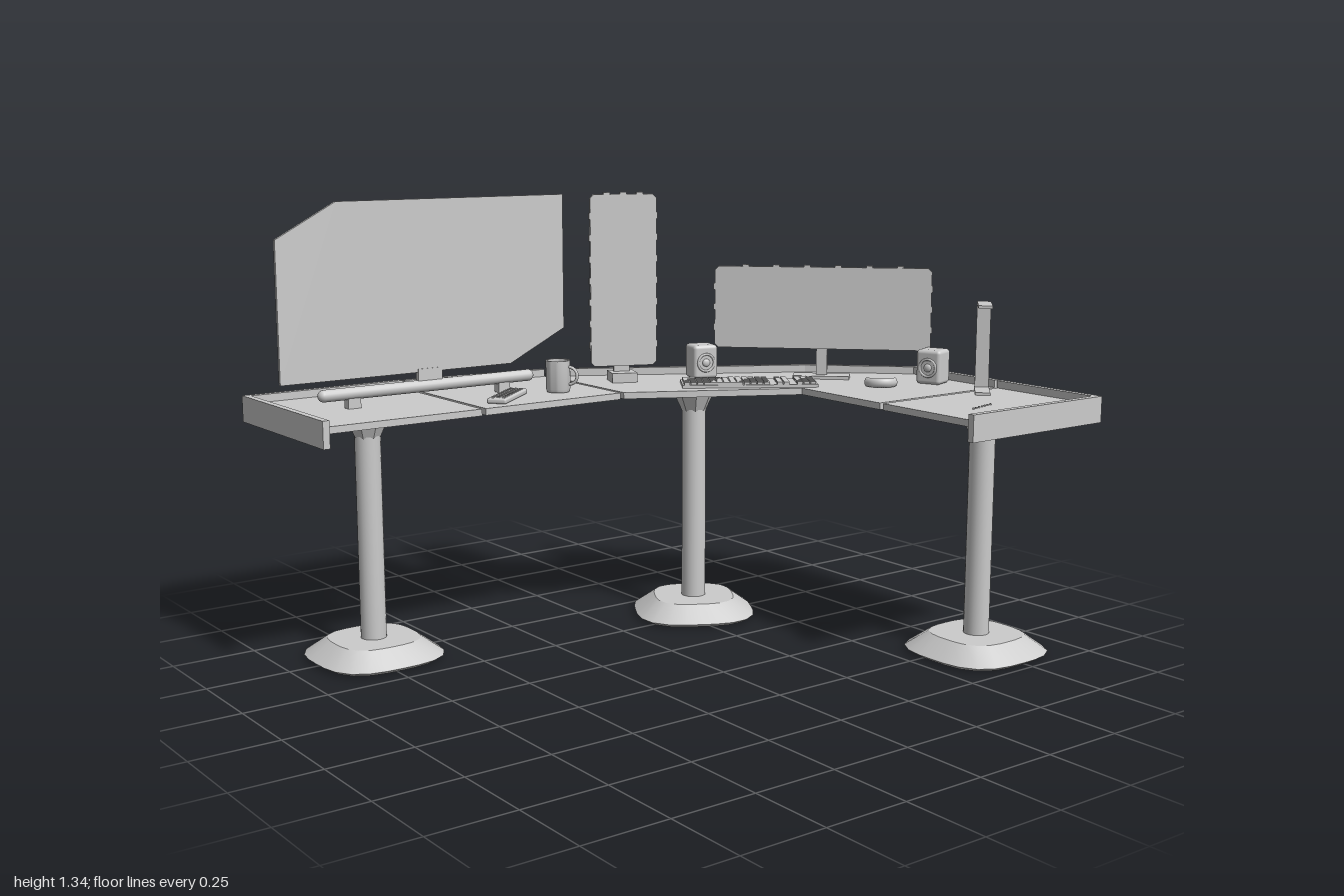
import * as THREE from 'three';
import { toCreasedNormals } from 'three/addons/utils/BufferGeometryUtils.js';
import { RoundedBoxGeometry } from 'three/addons/geometries/RoundedBoxGeometry.js';

const grey = new THREE.MeshStandardMaterial({ color: 0xcccccc, side: THREE.DoubleSide });
const TOP = 0.75; // height of the work surface

function add(parent, name, geo, x = 0, y = 0, z = 0) {
  const m = new THREE.Mesh(geo, grey);
  m.name = name;
  m.position.set(x, y, z);
  parent.add(m);
  return m;
}
const box = (w, h, d) => new THREE.BoxGeometry(w, h, d);

// Sub-group placed on the desk and turned about y (degrees)
function spot(parent, name, x, y, z, deg = 0) {
  const g = new THREE.Group();
  g.name = name;
  g.position.set(x, y, z);
  g.rotation.y = THREE.MathUtils.degToRad(deg);
  parent.add(g);
  return g;
}

// Flat polygon with thickness; points are 2D
function plate(points, depth) {
  const shape = new THREE.Shape(points.map(([x, y]) => new THREE.Vector2(x, y)));
  return new THREE.ExtrudeGeometry(shape, { depth, bevelEnabled: false });
}

// Rim board along an outer edge, thickness to the inner side
function rim(parent, [ax, az], [bx, bz]) {
  const t = 0.02, dx = bx - ax, dz = bz - az, len = Math.hypot(dx, dz);
  const m = add(parent, 'rim', box(len, 0.078, t),
    (ax + bx) / 2 - dz / len * t / 2, 0.734, (az + bz) / 2 + dx / len * t / 2);
  m.rotation.y = Math.atan2(-dz, dx);
}

function desk(parent) {
  const g = spot(parent, 'desk', 0, 0, 0);
  const panels = [
    [[-0.75, 0.99], [-0.75, 0.49], [-0.25, 0.49], [-0.25, 0.99]],
    [[-0.74, 0.477], [-0.685, 0.006], [-0.25, 0.006], [-0.25, 0.477]],
    [[-0.68, -0.006], [-0.26, -0.73], [-0.01, -0.98], [0.355, -0.98], [0.355, -0.495], [0.01, -0.495], [-0.25, -0.006]],
    [[0.368, -0.98], [0.745, -0.98], [0.745, -0.495], [0.368, -0.495]],
  ];
  panels.forEach((p) => {
    const geo = plate(p.map(([x, z]) => [x, -z]), 0.02).rotateX(-Math.PI / 2);
    add(g, 'topPanel', geo, 0, TOP - 0.02, 0);
  });
  const edges = [
    [[-0.22, 1], [-0.755, 1]], [[-0.755, 1], [-0.755, 0.485]],
    [[-0.75, 0.477], [-0.69, 0.006]], [[-0.688, -0.006], [-0.26, -0.74]],
    [[-0.26, -0.74], [-0.01, -0.995]], [[-0.01, -1], [0.355, -1]],
    [[0.365, -1], [0.755, -1]], [[0.755, -1], [0.755, -0.465]],
  ];
  edges.forEach(([a, b]) => rim(g, a, b));
}

// Column with flared head on a rounded-square foot
function leg(parent, x, z, deg) {
  const g = spot(parent, 'leg', x, 0, z, deg);
  const profile = [[0, 0], [0.17, 0], [0.188, 0.012], [0.125, 0.06], [0, 0.06]];
  const foot = new THREE.LatheGeometry(profile.map(([r, y]) => new THREE.Vector2(r, y)), 24);
  const p = foot.attributes.position;
  for (let i = 0; i < p.count; i++) {
    const a = Math.atan2(p.getZ(i), p.getX(i));
    const k = (Math.abs(Math.cos(a)) ** 3 + Math.abs(Math.sin(a)) ** 3) ** (-1 / 3);
    p.setXYZ(i, p.getX(i) * k, p.getY(i), p.getZ(i) * k);
  }
  add(g, 'foot', toCreasedNormals(foot, 0.5));
  add(g, 'column', new THREE.CylinderGeometry(0.038, 0.038, 0.61, 24), 0, 0.365, 0);
  const head = new THREE.CylinderGeometry(0.07, 0.038, 0.07, 8);
  add(g, 'columnHead', toCreasedNormals(head, 0.4), 0, 0.695, 0);
}

// Screen with clipped corners and small edge tabs, centred on its own origin
function screen(g, w, h, nx, ny) {
  const c = 0.012, a = w / 2, b = h / 2;
  add(g, 'screen', plate([[-a + c, -b], [a - c, -b], [a, -b + c], [a, b - c], [a - c, b],
    [-a + c, b], [-a, b - c], [-a, -b + c]], 0.016), 0, 0, -0.008);
  add(g, 'backShell', box(w * 0.94, h * 0.9, 0.012), 0, 0, -0.012);
  for (let i = 0; i < nx; i++) add(g, 'edgeTab', box(0.02, 0.012, 0.014), w * ((i + 1) / (nx + 1) - 0.5), b, 0);
  for (let i = 0; i < ny; i++) {
    for (const s of [-1, 1]) add(g, 'edgeTab', box(0.008, 0.02, 0.014), s * a, h * ((i + 1) / (ny + 1) - 0.5), 0);
  }
}

function displays(parent) {
  // Large panel with two diagonal corners cut
  const big = spot(parent, 'largeDisplay', -0.487, 0, 0.528, 90);
  add(big, 'screen', plate([[-0.472, 0.835], [0.278, 0.835], [0.472, 0.93], [0.472, 1.34],
    [-0.285, 1.34], [-0.472, 1.24]], 0.01), 0, 0, -0.005);
  add(big, 'neck', box(0.08, 0.04, 0.014), 0, 0.825, 0);
  const bar = new THREE.CapsuleGeometry(0.018, 0.68, 6, 16).rotateZ(Math.PI / 2);
  add(big, 'bar', bar, 0, 0.793, 0);
  for (const s of [-1, 1]) add(big, 'barFoot', box(0.04, 0.035, 0.025), s * 0.25, 0.766, 0);

  // Upright display
  const tall = spot(parent, 'uprightDisplay', -0.426, 1.07, -0.13, 67.7);
  screen(tall, 0.21, 0.535, 3, 7);
  add(tall, 'standPost', box(0.05, 0.19, 0.018), 0, -0.225, -0.035);
  add(tall, 'standCrossbar', box(0.1, 0.03, 0.03), 0, -0.13, -0.03);
  add(tall, 'standFoot', box(0.08, 0.03, 0.08), 0, -0.305, -0.02);

  // Wide display across the corner
  const wide = spot(parent, 'wideDisplay', -0.11, 0.975, -0.68, 45);
  screen(wide, 0.685, 0.26, 6, 3);
  add(wide, 'neck', box(0.035, 0.11, 0.02), 0, -0.17, -0.02);
  add(wide, 'standFoot', box(0.18, 0.01, 0.07), 0, -0.22, -0.01);
}

function speaker(parent, x, z, deg) {
  const g = spot(parent, 'speaker', x, TOP, z, deg);
  add(g, 'cabinet', new RoundedBoxGeometry(0.082, 0.108, 0.08, 3, 0.012), 0, 0.054, 0);
  add(g, 'coneRing', new THREE.TorusGeometry(0.027, 0.004, 8, 28), 0, 0.052, 0.04);
  add(g, 'cone', new THREE.SphereGeometry(0.013, 16, 8).scale(1, 1, 0.5), 0, 0.052, 0.04);
}

function keyboard(parent) {
  const g = spot(parent, 'keyboard', -0.14, TOP, -0.405, 56.5);
  add(g, 'case', box(0.42, 0.009, 0.125), 0, 0.005, 0);
  const key = box(0.017, 0.009, 0.015);
  for (let r = 0; r < 6; r++) {
    for (let c = 0; c < 20; c++) {
      if (c === 13 || c === 16) continue; // gaps between key blocks
      if (r === 5 && c > 2 && c < 9) continue; // space bar
      add(g, 'key', key, -0.196 + c * 0.0206, 0.013, -0.05 + r * 0.02);
    }
  }
  add(g, 'spaceBar', box(0.12, 0.009, 0.015), -0.083, 0.013, 0.05);
}

function smallItems(parent) {
  // Mug
  const mug = spot(parent, 'mug', -0.378, TOP, 0.147, 35);
  const wall = [[0, 0.002], [0.034, 0.002], [0.037, 0.012], [0.037, 0.098], [0.032, 0.098], [0.032, 0.014], [0, 0.01]];
  add(mug, 'cup', toCreasedNormals(new THREE.LatheGeometry(wall.map(([r, y]) => new THREE.Vector2(r, y)), 32), 0.7));
  const handle = new THREE.TorusGeometry(0.026, 0.005, 8, 20, Math.PI).rotateZ(-Math.PI / 2);
  add(mug, 'handle', handle, 0.036, 0.052, 0);

  // Remote with rows of buttons
  const remote = spot(parent, 'remote', -0.365, TOP, 0.335, -50);
  add(remote, 'remoteBody', new RoundedBoxGeometry(0.205, 0.016, 0.06, 2, 0.006), 0, 0.008, 0);
  for (let i = 0; i < 9; i++) {
    for (let j = -1; j <= 1; j++) add(remote, 'button', box(0.009, 0.005, 0.009), -0.08 + i * 0.02, 0.017, j * 0.016);
  }

  // Bracket-shaped lamp
  const lamp = spot(parent, 'lamp', 0.395, TOP, -0.882, -45);
  add(lamp, 'lampBase', box(0.125, 0.008, 0.045), 0, 0.004, 0);
  add(lamp, 'lampPost', box(0.01, 0.262, 0.042), -0.056, 0.135, 0);
  add(lamp, 'lampArm', box(0.13, 0.009, 0.042), 0.004, 0.266, 0);

  // Curved mouse shell
  const arc = new THREE.TorusGeometry(0.05, 0.009, 8, 20, 2.1).rotateX(Math.PI / 2).rotateY(0.35);
  const mouse = add(parent, 'mouse', arc, 0.12, TOP + 0.016, -0.72);
  mouse.scale.y = 1.6;

  // Row of indicator studs
  const stud = new THREE.CylinderGeometry(0.003, 0.003, 0.004, 8);
  for (let i = 0; i < 7; i++) add(parent, 'stud', stud, 0.57 + i * 0.004, TOP + 0.002, -0.73 + i * 0.016);
}

export function createModel() {
  const model = new THREE.Group();
  model.name = 'cornerDesk';
  desk(model);
  leg(model, -0.488, 0.735, 0);
  leg(model, -0.29, -0.305, -30);
  leg(model, 0.548, -0.725, 0);
  displays(model);
  speaker(model, -0.355, -0.385, 75);
  speaker(model, 0.175, -0.893, 20);
  keyboard(model);
  smallItems(model);
  return model;
}
